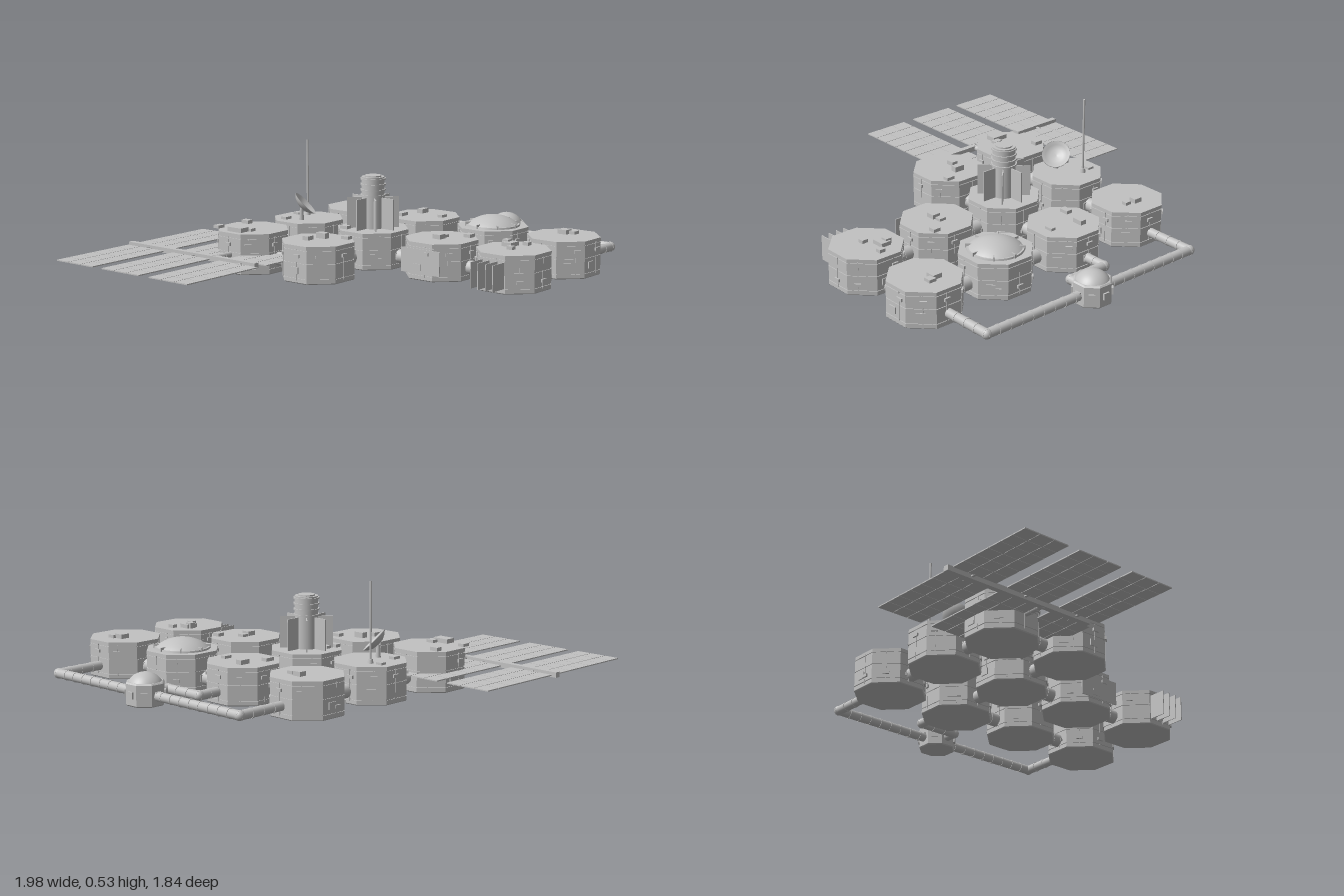
import * as THREE from 'three';

const grey = new THREE.MeshStandardMaterial({ color: 0xc2c2c2 });
grey.name = 'hull grey';

function add(parent, name, geometry, x = 0, y = 0, z = 0) {
  const mesh = new THREE.Mesh(geometry, grey);
  mesh.name = name;
  mesh.position.set(x, y, z);
  parent.add(mesh);
  return mesh;
}

function box(parent, name, w, h, d, x, y, z) {
  return add(parent, name, new THREE.BoxGeometry(w, h, d), x, y, z);
}

// Faceted octagonal solid; profile holds [apothem, height] pairs from bottom to top
function octagon(profile) {
  const pts = profile.map(([a, y]) => new THREE.Vector2(a / Math.cos(Math.PI / 8), y));
  const geo = new THREE.LatheGeometry(pts, 8, Math.PI / 8).toNonIndexed();
  geo.computeVertexNormals();
  return geo;
}

// Spherical cap standing on y = 0
function cap(radius, height) {
  const R = (radius * radius + height * height) / (2 * height);
  const geo = new THREE.SphereGeometry(R, 32, 12, 0, Math.PI * 2, 0, Math.acos((R - height) / R));
  return geo.translate(0, height - R, 0);
}

// Horizontal pipe from one [x, z] point to another, with collars
function pipe(parent, name, a, b, radius, y, spacing) {
  const dx = b[0] - a[0], dz = b[1] - a[1], len = Math.hypot(dx, dz);
  const g = new THREE.Group();
  g.name = name;
  g.position.set(a[0], y, a[1]);
  g.rotation.y = Math.atan2(dx, dz);
  parent.add(g);
  const rod = (r, l, z, n) =>
    add(g, n, new THREE.CylinderGeometry(r, r, l, 16).rotateX(Math.PI / 2), 0, 0, z);
  rod(radius, len, len / 2, 'pipe');
  const n = Math.max(1, Math.round(len / spacing));
  for (let i = 0; i <= n; i++) rod(radius + 0.002, 0.008, (i / n) * len, 'collar');
}

const X = [-0.27, 0.117, 0.507];
const Z = [-0.405, -0.02, 0.37, 0.757];

// column, row, then roof boxes as [dx, dz, width, depth, height]
const modules = [
  [0, 0, [[-0.1, 0.0, 0.05, 0.08, 0.018], [-0.06, 0.035, 0.03, 0.04, 0.012], [-0.09, -0.125, 0.04, 0.03, 0.012], [0.07, -0.1, 0.03, 0.04, 0.015]]],
  [1, 0, [[-0.09, -0.06, 0.04, 0.03, 0.012], [0.04, -0.1, 0.03, 0.03, 0.01]]],
  [2, 0, [[0.05, -0.005, 0.035, 0.04, 0.02], [0.045, 0.045, 0.025, 0.03, 0.014]]],
  [0, 1, [[-0.02, -0.04, 0.04, 0.03, 0.018], [0.05, -0.015, 0.03, 0.05, 0.025], [0.1, 0.08, 0.03, 0.04, 0.014]]],
  [1, 1, [[-0.1, -0.08, 0.03, 0.04, 0.014], [-0.05, -0.075, 0.025, 0.03, 0.012]]],
  [2, 1, [[-0.07, -0.08, 0.045, 0.03, 0.015], [0.05, -0.05, 0.05, 0.03, 0.02], [0.015, 0.09, 0.04, 0.025, 0.012]]],
  [1, 2, [[-0.02, 0, 0.04, 0.04, 0.02], [0.022, -0.005, 0.03, 0.035, 0.012], [0.09, 0.085, 0.035, 0.035, 0.015]]],
  [2, 2, []],
  [1, 3, [[0.045, -0.05, 0.06, 0.05, 0.018], [0.05, -0.07, 0.03, 0.03, 0.026], [-0.02, 0, 0.025, 0.03, 0.015], [0.1, 0, 0.025, 0.03, 0.015]]],
  [2, 3, [[0.037, -0.02, 0.045, 0.045, 0.02], [0.055, 0.015, 0.035, 0.035, 0.014]]],
];

const hull = octagon([
  [0, 0.01], [0.15, 0.01], [0.154, 0.014], [0.154, 0.032], [0.15, 0.032], [0.15, 0.036], [0.154, 0.036],
  [0.154, 0.1], [0.15, 0.1], [0.15, 0.105], [0.154, 0.105], [0.154, 0.158],
  [0.15, 0.158], [0.15, 0.162], [0.154, 0.162], [0.154, 0.178], [0, 0.178],
]);

function habitat(root, col, row, roof, index) {
  const g = new THREE.Group();
  g.name = 'habitatModule';
  // the module beside the solar array sits a little taller
  const tall = col === 0 && row === 0;
  g.position.set(X[col], tall ? -0.01 : 0, Z[row]);
  if (tall) g.scale.y = 1.1;
  root.add(g);
  add(g, 'hull', hull);
  // Wall fittings on each of the eight faces
  for (let i = 0; i < 8; i++) {
    const face = new THREE.Group();
    face.name = 'wallFittings';
    face.rotation.y = (i * Math.PI) / 4;
    g.add(face);
    const k = (i * 5 + index * 3) % 7;
    box(face, 'wallRib', 0.004, 0.14, 0.004, -0.025 + 0.008 * k, 0.094, 0.154);
    box(face, 'wallBox', 0.03, 0.014, 0.016, -0.03 + 0.01 * k, k % 2 ? 0.06 : 0.132, 0.154);
    if (k > 3) box(face, 'hatchPlate', 0.04, 0.03, 0.008, 0.03 - 0.008 * k, 0.068, 0.155);
  }
  for (const [x, z, w, d, h] of roof) box(g, 'roofBox', w, h, d, x, 0.178 + h / 2, z);
  return g;
}

function tower(root) {
  const g = new THREE.Group();
  g.name = 'tower';
  g.position.set(X[1], 0.178, Z[1]);
  root.add(g);
  add(g, 'core', new THREE.CylinderGeometry(0.052, 0.052, 0.235, 24), 0, 0.1175, 0);
  for (const y of [0.15, 0.175, 0.2, 0.225])
    add(g, 'ring', new THREE.CylinderGeometry(0.058, 0.058, 0.007, 24), 0, y, 0);
  add(g, 'topCap', new THREE.CylinderGeometry(0.038, 0.038, 0.006, 24), 0, 0.238, 0);
  for (let i = 0; i < 8; i++) {
    const fin = box(g, 'fin', 0.07, 0.142, 0.005, 0, 0.071, 0);
    fin.geometry.translate(0.083, 0, 0);
    fin.rotation.y = (i * Math.PI) / 4;
  }
}

function dish(root) {
  const g = new THREE.Group();
  g.name = 'dish';
  g.position.set(0.065, 0.25, -0.385);
  g.quaternion.setFromUnitVectors(new THREE.Vector3(0, 1, 0), new THREE.Vector3(0.42, 0.7, 0.57).normalize());
  root.add(g);
  const pts = [[0, -0.022], [0.03, -0.018], [0.052, -0.007], [0.066, 0.006], [0.064, 0.008], [0.05, -0.003], [0.03, -0.013], [0, -0.017]];
  add(g, 'bowl', new THREE.LatheGeometry(pts.map(p => new THREE.Vector2(...p)), 28));
  add(root, 'dishPost', new THREE.CylinderGeometry(0.008, 0.012, 0.06, 12), 0.055, 0.203, -0.395);
}

function solarArray(root) {
  const g = new THREE.Group();
  g.name = 'solarArray';
  g.position.y = 0.088;
  root.add(g);
  box(g, 'spine', 0.026, 0.024, 0.775, -0.531, 0, -0.537);
  pipe(g, 'arrayMount', [-0.42, -0.405], [-0.531, -0.405], 0.013, 0, 0.04);
  for (const z of [-0.798, -0.515, -0.23]) {
    box(g, 'crossbar', 0.08, 0.006, 0.012, -0.531, 0, z);
    for (const x of [-0.78, -0.285]) {
      box(g, 'backing', 0.436, 0.002, 0.226, x, 0, z);
      for (let i = 0; i < 6; i++)
        for (let j = 0; j < 3; j++)
          box(g, 'cell', 0.07, 0.005, 0.073, x + (i - 2.5) * 0.0735, 0, z + (j - 1) * 0.0765);
    }
  }
}

export function createModel() {
  const root = new THREE.Group();
  root.name = 'baseStation';
  modules.forEach(([c, r, roof], i) => habitat(root, c, r, roof, i));

  // Short corridors between neighbouring modules: [colA, rowA, colB, rowB]
  for (const [a, b, c, d] of [[0, 0, 1, 0], [1, 0, 2, 0], [0, 1, 1, 1], [1, 1, 2, 1], [0, 0, 0, 1],
    [1, 1, 1, 2], [2, 1, 2, 2], [1, 2, 1, 3], [2, 2, 2, 3]]) {
    const mx = (X[a] + X[c]) / 2, mz = (Z[b] + Z[d]) / 2;
    const hx = a === c ? 0 : 0.05, hz = b === d ? 0 : 0.05;
    pipe(root, 'corridor', [mx - hx, mz - hz], [mx + hx, mz + hz], 0.031, 0.065, 0.05);
  }

  // Outer walkways with rounded corners
  const routes = [
    [[0.65, -0.405], [0.897, -0.405], [0.897, 0.12]],
    [[0.65, 0.757], [0.897, 0.757], [0.897, 0.22]],
    [[0.65, -0.02], [0.766, -0.02], [0.766, 0.175], [0.84, 0.175]],
  ];
  for (const route of routes)
    for (let i = 1; i < route.length; i++) {
      pipe(root, 'walkway', route[i - 1], route[i], 0.021, 0.065, 0.06);
      if (i < route.length - 1)
        add(root, 'walkwayElbow', new THREE.SphereGeometry(0.023, 16, 12), route[i][0], 0.065, route[i][1]);
    }

  // Domed junction
  const hub = new THREE.Group();
  hub.name = 'junction';
  hub.position.set(0.897, 0, 0.175);
  root.add(hub);
  add(hub, 'junctionBody', octagon([[0, 0.02], [0.076, 0.02], [0.08, 0.025], [0.08, 0.115], [0.074, 0.121], [0, 0.121]]));
  add(hub, 'junctionDome', cap(0.073, 0.042), 0, 0.118, 0);
  for (let i = 0; i < 8; i++) {
    const plate = box(hub, 'junctionPlate', 0.03, 0.03, 0.012, 0, 0.07, 0);
    plate.geometry.translate(0, 0, 0.082);
    plate.rotation.y = (i * Math.PI) / 4;
  }

  // Large dome with rim and clamps
  const dome = new THREE.Group();
  dome.name = 'greatDome';
  dome.position.set(X[2], 0.178, Z[2]);
  root.add(dome);
  add(dome, 'rim', new THREE.CylinderGeometry(0.123, 0.125, 0.008, 40), 0, 0.004, 0);
  add(dome, 'shell', cap(0.119, 0.044), 0, 0.005, 0);
  for (let i = 0; i < 8; i++) {
    const clamp = box(dome, 'clamp', 0.006, 0.018, 0.026, 0, 0.009, 0);
    clamp.geometry.translate(0, 0, 0.115);
    clamp.rotation.y = (i * Math.PI) / 4;
  }

  tower(root);
  dish(root);
  solarArray(root);
  add(root, 'antenna', new THREE.CylinderGeometry(0.005, 0.005, 0.357, 10), 0.17, 0.3565, -0.455);
  add(root, 'antennaBase', new THREE.CylinderGeometry(0.01, 0.014, 0.02, 12), 0.17, 0.187, -0.455);

  // Radiator fins and flush side panel
  for (const z of [0.7, 0.738, 0.778, 0.815])
    box(root, 'radiatorFin', 0.085, 0.115, 0.004, -0.078, 0.092, z);
  box(root, 'sidePanel', 0.004, 0.11, 0.21, -0.038, 0.095, Z[2]);
  return root;
}
